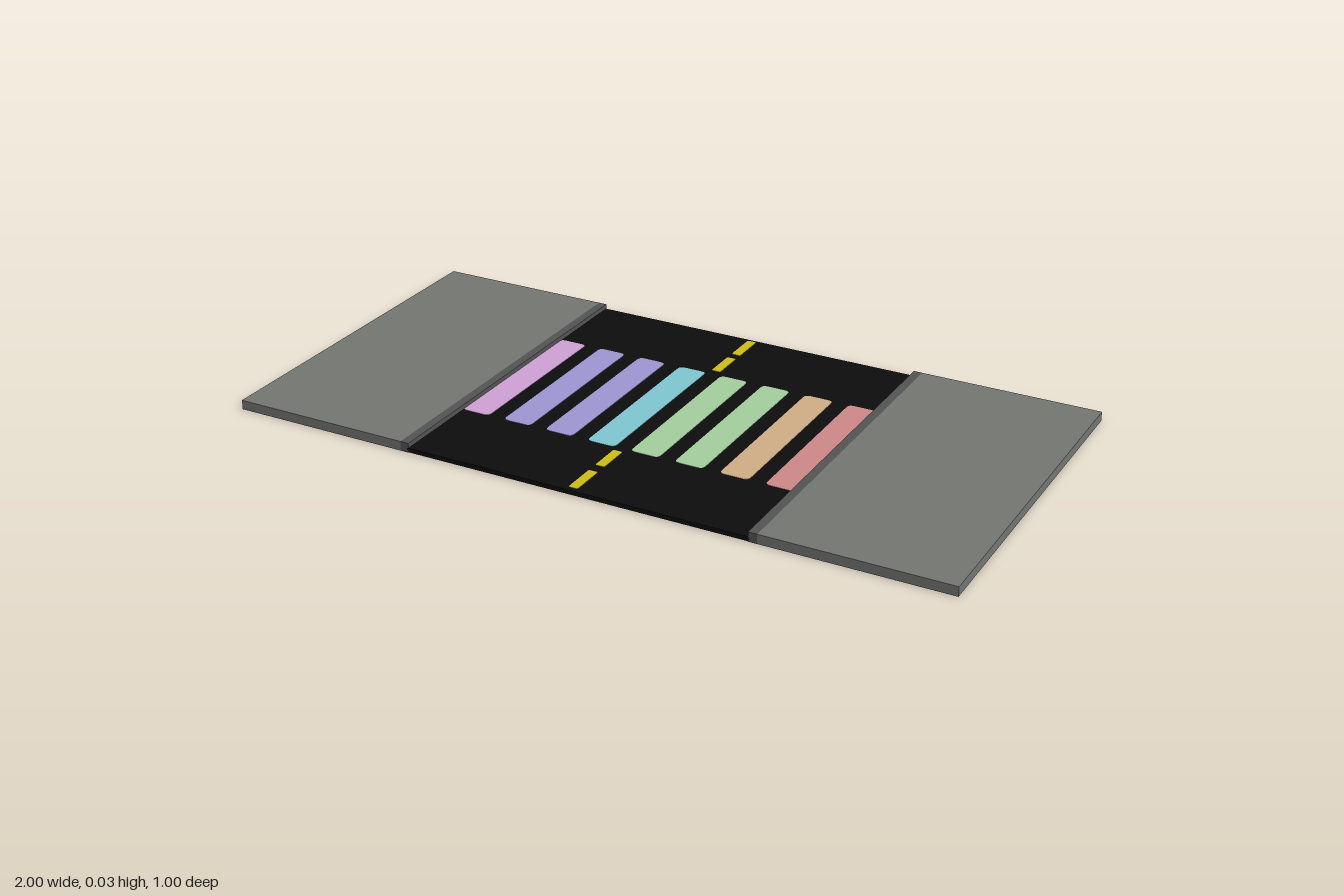
import * as THREE from 'three';

const mat = (name, color) => {
  const m = new THREE.MeshStandardMaterial({ color });
  m.name = name;
  return m;
};

export function createModel() {
  const group = new THREE.Group();
  const paving = mat('paving grey', 0x747672);
  const kerb = mat('kerb grey', 0x545454);
  const asphalt = mat('asphalt black', 0x0d0d0d);
  const yellow = mat('lane yellow', 0xcdbe16);
  const pink = mat('pink', 0xcfa0d4);
  const lavender = mat('lavender', 0x9d95d3);
  const cyan = mat('cyan', 0x80c7d2);
  const green = mat('green', 0xa3ce9d);
  const orange = mat('orange', 0xcfae86);
  const red = mat('red', 0xcd8888);

  const ROAD_BASE = 0.001, ROAD_TOP = 0.013, WALK_TOP = 0.026;

  const box = (name, material, x0, x1, y0, y1, z0, z1) => {
    const mesh = new THREE.Mesh(new THREE.BoxGeometry(x1 - x0, y1 - y0, z1 - z0), material);
    mesh.position.set((x0 + x1) / 2, (y0 + y1) / 2, (z0 + z1) / 2);
    mesh.name = name;
    group.add(mesh);
  };

  // Thin plate with rounded corners, painted on both faces of the road
  const marking = (name, material, x, z, w, d, r) => {
    const a = w / 2, b = d / 2;
    const s = new THREE.Shape();
    s.moveTo(-a + r, -b);
    s.lineTo(a - r, -b).quadraticCurveTo(a, -b, a, -b + r);
    s.lineTo(a, b - r).quadraticCurveTo(a, b, a - r, b);
    s.lineTo(-a + r, b).quadraticCurveTo(-a, b, -a, b - r);
    s.lineTo(-a, -b + r).quadraticCurveTo(-a, -b, -a + r, -b);
    const geo = new THREE.ExtrudeGeometry(s, { depth: 0.002, bevelEnabled: false, curveSegments: 4 });
    geo.rotateX(-Math.PI / 2);
    for (const [side, y] of [['Top', ROAD_TOP - 0.001], ['Underside', 0]]) {
      const mesh = new THREE.Mesh(geo, material);
      mesh.position.set(x, y, z);
      mesh.name = name + side;
      group.add(mesh);
    }
  };

  // Road slab, with a thin coloured line along its back edge
  box('road', asphalt, -0.48, 0.48, ROAD_BASE, ROAD_TOP, -0.498, 0.5);
  box('backEdgeLine', cyan, -0.476, 0.476, ROAD_BASE, 0.005, -0.5, -0.498);

  // Pavements and kerbs on both sides
  for (const [side, s] of [['left', 1], ['right', -1]]) {
    const span = (a, b) => (s > 0 ? [a, b] : [-b, -a]);
    box(side + 'Pavement', paving, ...span(0.5, 1), 0, WALK_TOP, -0.5, 0.5);
    box(side + 'Kerb', kerb, ...span(0.476, 0.5), 0, WALK_TOP, -0.5, 0.5);
  }

  // Crossing stripes
  [pink, lavender, lavender, cyan, green, green, orange, red].forEach((m, i) => {
    marking('crossingStripe' + (i + 1), m, (i - 3.5) * 0.125, 0, 0.08, 0.5, 0.015);
  });

  // Centre line dashes
  [[-0.49, -0.39], [-0.365, -0.27], [0.265, 0.357], [0.388, 0.487]].forEach(([z0, z1], i) => {
    marking('laneDash' + (i + 1), yellow, -0.004, (z0 + z1) / 2, 0.026, z1 - z0, 0.005);
  });

  return group;
}
